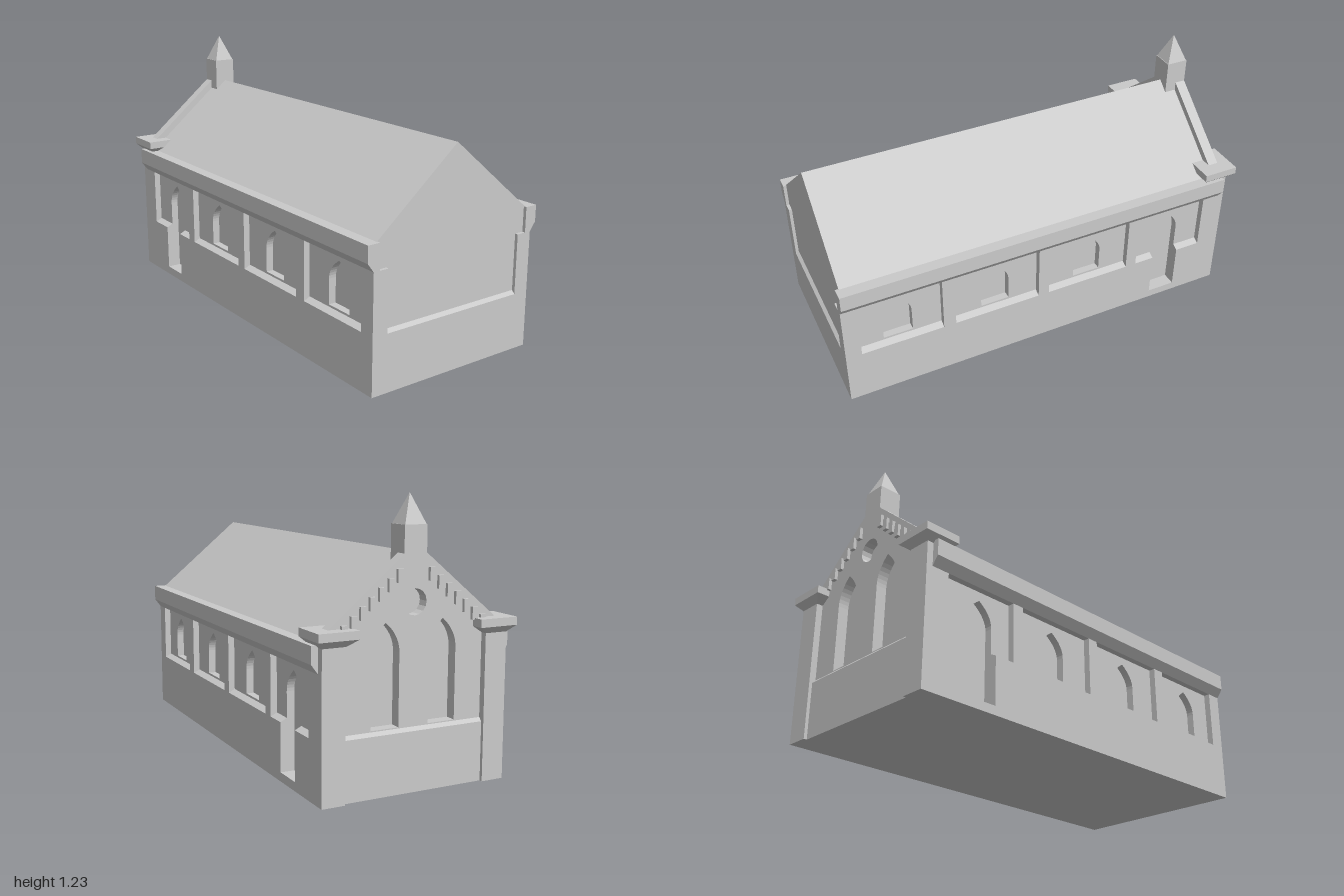
import * as THREE from 'three';
import { ConvexGeometry } from 'three/addons/geometries/ConvexGeometry.js';

const stone = new THREE.MeshStandardMaterial({ color: 0xcacaca });
stone.name = 'grey stone';

export function createModel() {
  const model = new THREE.Group();
  model.name = 'chapel';

  const add = (name, geometry) => {
    const mesh = new THREE.Mesh(geometry, stone);
    mesh.name = name;
    model.add(mesh);
    return mesh;
  };
  // Box from its limits; the z limits may be in either order
  const box = (name, x0, x1, y0, y1, z0, z1) =>
    add(name, new THREE.BoxGeometry(x1 - x0, y1 - y0, Math.abs(z1 - z0)))
      .position.set((x0 + x1) / 2, (y0 + y1) / 2, (z0 + z1) / 2);
  const outline = (pts) => new THREE.Shape(pts.map(([a, b]) => new THREE.Vector2(a, b)));
  const extrude = (shape, depth) =>
    new THREE.ExtrudeGeometry(shape, { depth, bevelEnabled: false, curveSegments: 8 });
  // Extrude a (-z, y) shape along x
  const alongX = (name, shape, x0, x1) =>
    add(name, extrude(shape, x1 - x0).rotateY(Math.PI / 2).translate(x0, 0, 0));
  // Extrude an (x, y) shape along z
  const alongZ = (name, shape, z0, z1) =>
    add(name, extrude(shape, Math.abs(z1 - z0)).translate(0, 0, Math.min(z0, z1)));
  // Pointed arch opening
  const lancet = (cx, w, y0, spring, apex) => {
    const p = new THREE.Path();
    const bend = spring + (apex - spring) * 0.55;
    p.moveTo(cx - w, y0);
    p.lineTo(cx + w, y0);
    p.lineTo(cx + w, spring);
    p.quadraticCurveTo(cx + w, bend, cx, apex);
    p.quadraticCurveTo(cx - w, bend, cx - w, spring);
    p.closePath();
    return p;
  };

  // Solid core with the pitched roof
  alongX('hallAndRoof', outline([
    [-0.37, 0], [0.37, 0], [0.37, 0.54], [0.41, 0.54], [0.41, 0.65],
    [0, 0.99], [-0.41, 0.65], [-0.41, 0.54], [-0.37, 0.54],
  ]), -0.89, 0.985);

  const panels = [[-0.855, -0.49], [-0.435, -0.01], [0.045, 0.47], [0.53, 0.925]];
  const windows = [-0.225, 0.26, 0.74];
  const doorX = -0.66;

  for (const s of [1, -1]) {
    // Inner wall with the arched openings
    const inner = outline([[-0.92, 0], [0.985, 0], [0.985, 0.56], [-0.92, 0.56]]);
    inner.holes.push(lancet(doorX, 0.07, 0.04, 0.39, 0.495));
    for (const x of windows) inner.holes.push(lancet(x, 0.07, 0.285, 0.40, 0.50));
    alongZ('sideWall', inner, s * 0.37, s * 0.405);

    // Outer layer: plinth and pilasters around the recessed panels
    const outer = outline([[-0.86, 0], [1, 0], [1, 0.56], [-0.86, 0.56]]);
    panels.forEach(([a, b], i) => {
      const door = i ? [] : [[-0.73, 0.26], [-0.73, 0.04], [-0.59, 0.04], [-0.59, 0.26]];
      outer.holes.push(outline([[a, 0.26], ...door, [b, 0.26], [b, 0.535], [a, 0.535]]));
      // Sloping sills, broken by the door
      const spans = i ? [[a, b]] : [[a, -0.73], [-0.59, b]];
      for (const [x0, x1] of spans) {
        alongX('panelSill', outline([[-s * 0.405, 0.26], [-s * 0.435, 0.26], [-s * 0.405, 0.275]]), x0, x1);
      }
    });
    alongZ('plinthAndPilasters', outer, s * 0.405, s * 0.435);

    // Eaves cornice
    alongX('cornice', outline([
      [-s * 0.405, 0.535], [-s * 0.435, 0.535], [-s * 0.465, 0.575], [-s * 0.465, 0.65], [-s * 0.405, 0.65],
    ]), -0.94, 1);

    // Corner pier and its L-shaped flared cap
    box('cornerPier', -0.97, -0.86, 0, 0.65, s * 0.33, s * 0.435);
    box('pierCap', -1, -0.83, 0.67, 0.705, s * 0.34, s * 0.465);
    box('pierCapReturn', -1, -0.94, 0.67, 0.705, s * 0.285, s * 0.34);
    const flare = (name, low, high) => {
      const pts = [];
      for (const [y, [x0, x1, z0, z1]] of [[0.64, low], [0.67, high]])
        for (const x of [x0, x1]) for (const z of [z0, z1]) pts.push(new THREE.Vector3(x, y, s * z));
      add(name, new ConvexGeometry(pts));
    };
    flare('pierCapFlare', [-0.97, -0.86, 0.36, 0.435], [-1, -0.83, 0.34, 0.465]);
    flare('pierCapReturnFlare', [-0.97, -0.94, 0.33, 0.4], [-1, -0.94, 0.285, 0.4]);

    // Stepped corbels under the gable coping
    for (let i = 0; i < 7; i++) {
      const z = 0.075 + i * 0.042;
      const top = 0.99 - z * 0.83;
      box('corbel', -0.955, -0.935, top - 0.055, top, s * (z - 0.013), s * (z + 0.013));
    }
  }

  // Entrance gable with parapet, two tall windows and a round window
  const gable = outline([[-0.4, 0], [0.4, 0], [0.4, 0.7], [0, 1.03], [-0.4, 0.7]]);
  for (const z of [-0.135, 0.135]) gable.holes.push(lancet(z, 0.065, 0.28, 0.59, 0.715));
  gable.holes.push(new THREE.Path().absarc(0, 0.79, 0.055, 0, Math.PI * 2, true));
  alongX('gableWall', gable, -0.94, -0.89);
  box('gablePlinth', -0.955, -0.93, 0, 0.26, -0.34, 0.34);
  alongZ('gableSill', outline([[-0.955, 0.26], [-0.94, 0.26], [-0.94, 0.275]]), -0.33, 0.33);

  // Plain end: raised plinth and corner strips round a recessed wall
  alongX('endPlinthAndStrips', outline([
    [-0.405, 0], [0.405, 0], [0.405, 0.535], [0.36, 0.535], [0.36, 0.26],
    [-0.36, 0.26], [-0.36, 0.535], [-0.405, 0.535],
  ]), 0.985, 1);
  alongZ('endSill', outline([[0.985, 0.26], [1, 0.26], [0.985, 0.275]]), -0.36, 0.36);

  // Bell turret and spire
  box('turret', -0.94, -0.835, 0.945, 1.1, -0.053, 0.053);
  const spire = new THREE.ConeGeometry(0.05 * Math.SQRT2, 0.125, 4).rotateY(Math.PI / 4).toNonIndexed();
  spire.computeVertexNormals();
  add('spire', spire).position.set(-0.8875, 1.1625, 0);

  return model;
}
